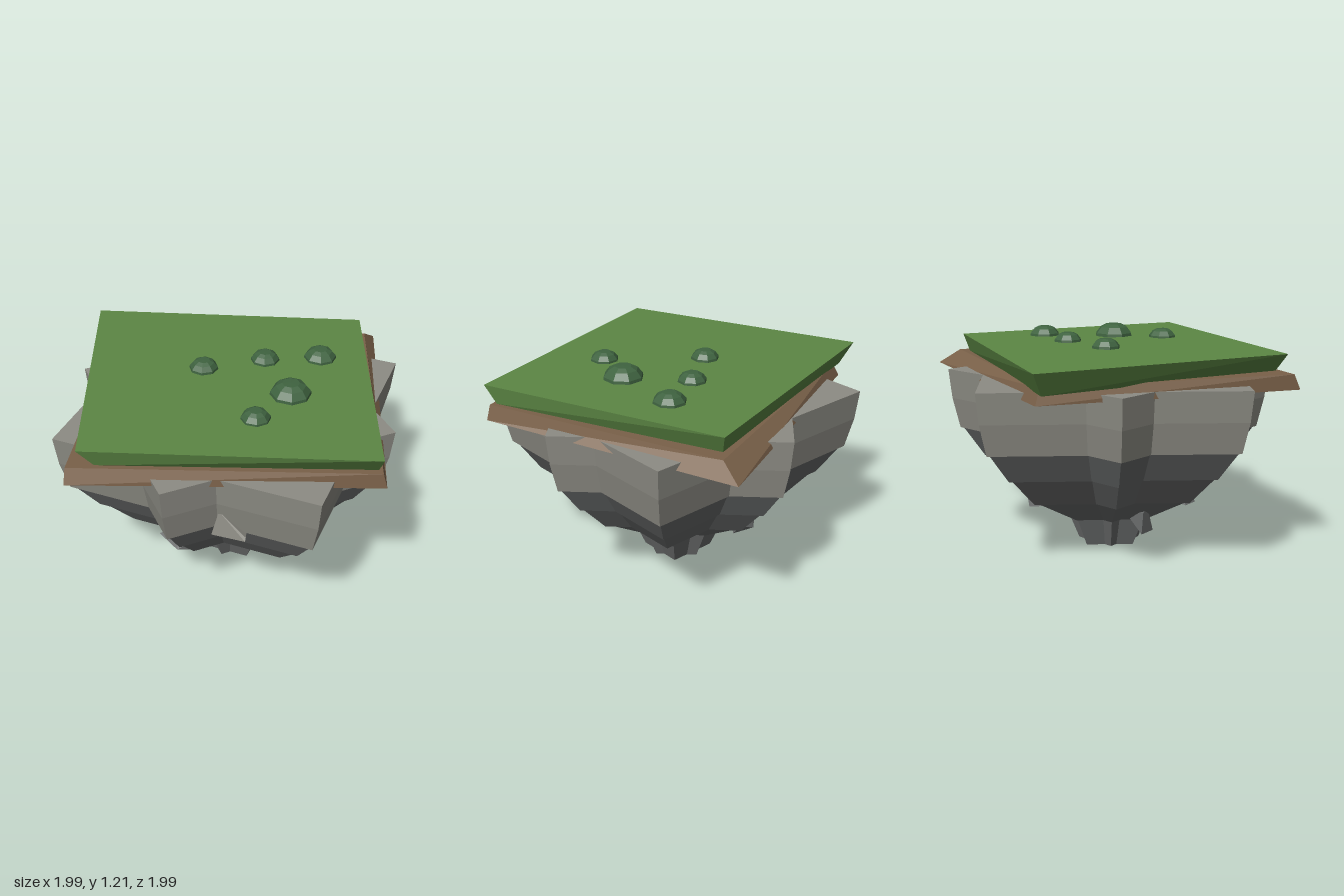
import * as THREE from 'three';
import { ConvexGeometry } from 'three/addons/geometries/ConvexGeometry.js';

function material(name, color) {
  const m = new THREE.MeshStandardMaterial({ color, flatShading: true });
  m.name = name;
  return m;
}

// Solid between two [x, y, z] rings, both listed counter-clockwise from above
function loft(bottom, top) {
  const n = top.length, pos = [];
  const tri = (a, b, c) => pos.push(...a, ...b, ...c);
  for (let i = 0; i < n; i++) {
    const j = (i + 1) % n;
    tri(bottom[i], bottom[j], top[j]);
    tri(bottom[i], top[j], top[i]);
    if (i > 0 && i < n - 1) {
      tri(top[0], top[i], top[i + 1]);
      tri(bottom[0], bottom[i + 1], bottom[i]);
    }
  }
  const g = new THREE.BufferGeometry();
  g.setAttribute('position', new THREE.Float32BufferAttribute(pos, 3));
  g.computeVertexNormals();
  return g;
}

// Corners of a rock block, scaled and turned about the rock's axis
function blockRing(y, scale, angle) {
  const c = Math.cos(angle), s = Math.sin(angle);
  return [[1, 1], [1, -1], [-1, -1], [-1, 1]].map(([u, v]) => {
    const x = u * 0.7325 * scale, z = v * 0.695 * scale;
    return [0.0125 + x * c + z * s, y, 0.015 - x * s + z * c];
  });
}

export function createModel() {
  const group = new THREE.Group();
  const grass = material('grass green', 0x5c8744);
  const dirt = material('soil brown', 0x7a6149);
  const paleRock = material('pale rock', 0x8d8c84);
  const darkRock = material('dark rock', 0x6a6c6c);
  const leaf = material('bush green', 0x3f6340);

  const add = (name, geometry, mat) => {
    const mesh = new THREE.Mesh(geometry, mat);
    mesh.name = name;
    group.add(mesh);
    return mesh;
  };

  // Rock: stepped layers, each two crossed tapering blocks
  const layers = [
    // bottom y, top y, bottom scale, top scale
    [0, 0.165, 0.19, 0.265, darkRock],
    [0.165, 0.33, 0.275, 0.575, darkRock],
    [0.33, 0.495, 0.6, 0.765, darkRock],
    [0.495, 0.66, 0.785, 0.915, darkRock],
    [0.66, 0.83, 0.935, 0.98, paleRock],
    [0.83, 0.995, 0.98, 1, paleRock],
  ];
  layers.forEach(([y0, y1, s0, s1, mat], i) => {
    [[0, 1], [Math.PI / 4, 0.896]].forEach(([angle, k], j) => {
      add(`rockLayer${i + 1}${j ? 'Diagonal' : 'Square'}`,
        loft(blockRing(y0, s0 * k, angle), blockRing(y1, s1 * k, angle)), mat);
    });
  });

  // Loose stones stuck in the sides
  const stones = [
    ['paleStone', paleRock, [[0.165, 0.62, 0.7], [0.355, 0.64, 0.71], [0.355, 0.66, 0.7],
      [0.2, 0.77, 0.68], [0.18, 0.7, 0.6], [0.32, 0.64, 0.58]]],
    ['upperStone', darkRock, [[-0.27, 0.27, 0.43], [-0.16, 0.34, 0.41], [-0.05, 0.31, 0.46],
      [-0.02, 0.235, 0.44], [-0.13, 0.25, 0.5], [-0.12, 0.27, 0.3]]],
    ['lowerStone', darkRock, [[-0.335, 0.125, 0.18], [-0.32, 0.245, 0.19], [-0.27, 0.25, 0.22],
      [-0.13, 0.15, 0.24], [-0.24, 0.12, 0.25], [-0.15, 0.2, 0.1]]],
    ['backStone', darkRock, [[-0.25, 0.27, -0.36], [-0.15, 0.34, -0.38], [-0.03, 0.3, -0.46],
      [-0.04, 0.23, -0.4], [-0.16, 0.24, -0.44], [-0.12, 0.28, -0.28]]],
  ];
  for (const [name, mat, pts] of stones) {
    add(name, new ConvexGeometry(pts.map(p => new THREE.Vector3(...p))), mat);
  }

  // Skewed soil slab
  add('soilSlab', loft(
    [[-0.5, 0.96, 0.99], [0.99, 0.96, 0.42], [0.525, 0.96, -0.995], [-0.89, 0.96, -0.38]],
    [[-0.505, 1.042, 0.955], [0.965, 1.042, 0.42], [0.5, 1.042, -0.865], [-0.85, 1.042, -0.36]],
  ), dirt);

  // Overhanging grass slab
  add('grassSlab', loft(
    [[-0.38, 1.04, 0.88], [0.935, 1.045, 0.4], [0.44, 1.04, -0.8], [-0.925, 1.015, -0.35]],
    [[-0.45, 1.14, 0.93], [0.97, 1.145, 0.455], [0.47, 1.14, -0.84], [-1, 1.135, -0.385]],
  ), grass);

  // Low domed bushes
  const bushes = [
    [-0.17, -0.01, 0.08, 0.05], [0.11, -0.215, 0.08, 0.05], [0.385, -0.35, 0.09, 0.055],
    [0.355, 0.06, 0.112, 0.07], [0.265, 0.34, 0.08, 0.05],
  ];
  bushes.forEach(([x, z, r, h], i) => {
    const profile = [[1, -0.1], [0.97, 0.25], [0.72, 0.75], [0.42, 1], [0, 1.02]]
      .map(([u, v]) => new THREE.Vector2(u * r, v * h));
    const bush = add(`bush${i + 1}`, new THREE.LatheGeometry(profile, 8), leaf);
    bush.position.set(x, 1.14, z);
    bush.rotation.y = 0.25 + i * 0.05;
  });

  return group;
}
